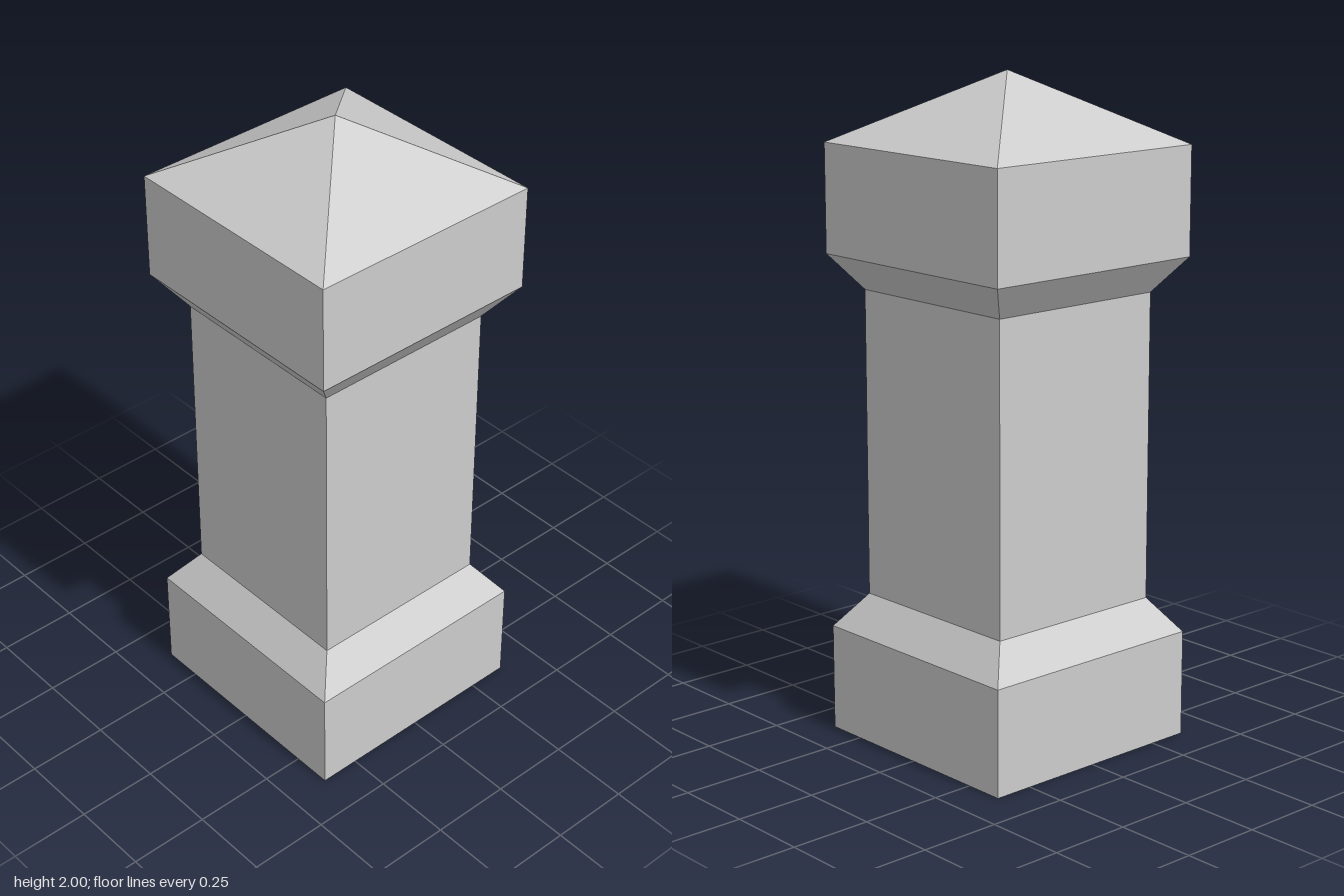
import * as THREE from 'three';

export function createModel() {
  const group = new THREE.Group();
  group.name = 'stonePost';

  const stone = new THREE.MeshStandardMaterial({
    color: 0xcccccc, flatShading: true, side: THREE.DoubleSide,
  });
  stone.name = 'pale grey stone';

  // Open square tier running from yLow to yHigh, given half widths at each end
  function addTier(name, yLow, yHigh, halfLow, halfHigh) {
    const height = yHigh - yLow;
    const geometry = new THREE.CylinderGeometry(
      halfHigh * Math.SQRT2, halfLow * Math.SQRT2, height, 4, 1, true, Math.PI / 4);
    const mesh = new THREE.Mesh(geometry, stone);
    mesh.name = name;
    mesh.position.y = yLow + height / 2;
    group.add(mesh);
  }

  const wide = 0.373, narrow = 0.294;

  // Hollow shell, open underneath
  addTier('plinth', 0, 0.325, wide, wide);
  addTier('plinthSlope', 0.325, 0.43, wide, narrow);
  addTier('shaft', 0.43, 1.36, narrow, narrow);
  addTier('capFlare', 1.36, 1.465, narrow, wide);
  addTier('capBlock', 1.465, 1.79, wide, wide);
  addTier('pyramidTop', 1.79, 2, wide, 0);

  return group;
}
